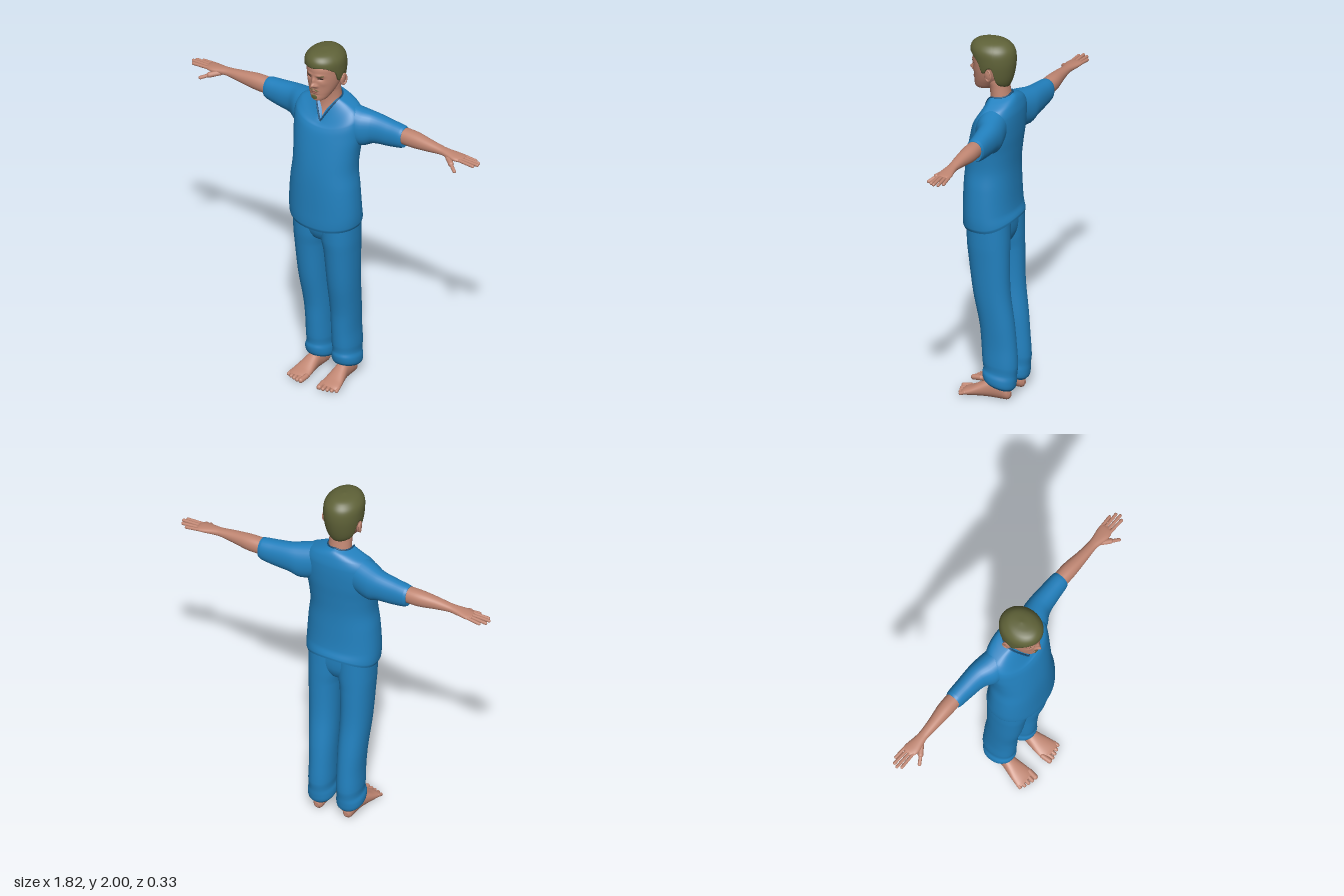
import * as THREE from 'three';

const V = (x, y, z) => new THREE.Vector3(x, y, z);
const flat = (name, color, side = THREE.FrontSide) => {
  const m = new THREE.MeshStandardMaterial({ color, side });
  m.name = name;
  return m;
};

// Smoothly interpolates rows [position, ...values] at a position
function at(rows, p) {
  let i = 0;
  while (i < rows.length - 2 && p > rows[i + 1][0]) i++;
  const a = rows[i], b = rows[i + 1], h = b[0] - a[0];
  const t = Math.min(1, Math.max(0, (p - a[0]) / h));
  const slope = (j, k) => {
    const l = rows[Math.max(0, j - 1)], r = rows[Math.min(rows.length - 1, j + 1)];
    return (r[k] - l[k]) / (r[0] - l[0]);
  };
  return a.map((v, k) => k === 0 ? a[0] + h * t :
    v * (2 * t ** 3 - 3 * t * t + 1) + b[k] * (3 * t * t - 2 * t ** 3) +
    h * (slope(i, k) * (t ** 3 - 2 * t * t + t) + slope(i + 1, k) * (t ** 3 - t * t)));
}

// Positions spread evenly inside every span of the rows
function stations(rows, steps) {
  const out = [rows[0][0]];
  for (let i = 1; i < rows.length; i++)
    for (let s = 1; s <= steps; s++) out.push(rows[i - 1][0] + (rows[i][0] - rows[i - 1][0]) * s / steps);
  return out;
}

// Skins closed rings of points, caps both ends and turns faces outward
function loft(rings) {
  const n = rings[0].length, pts = rings.flat(), idx = [];
  for (let r = 0; r < rings.length - 1; r++)
    for (let i = 0; i < n; i++) {
      const a = r * n + i, b = r * n + (i + 1) % n;
      idx.push(a, b, a + n, b, b + n, a + n);
    }
  [rings[0], rings[rings.length - 1]].forEach((ring, end) => {
    const base = pts.length, c = V(0, 0, 0);
    ring.forEach(p => c.addScaledVector(p, 1 / n));
    pts.push(...ring, c);
    for (let i = 0; i < n; i++) {
      const a = base + i, b = base + (i + 1) % n;
      idx.push(...(end ? [a, b, base + n] : [b, a, base + n]));
    }
  });
  let volume = 0;
  const cross = V(0, 0, 0);
  for (let i = 0; i < idx.length; i += 3)
    volume += pts[idx[i]].dot(cross.crossVectors(pts[idx[i + 1]], pts[idx[i + 2]]));
  if (volume < 0) idx.reverse();
  const g = new THREE.BufferGeometry().setFromPoints(pts);
  g.setIndex(idx);
  g.computeVertexNormals();
  return g;
}

const circle = (n, f) => Array.from({ length: n }, (_, i) =>
  f(Math.cos(i / n * 2 * Math.PI), Math.sin(i / n * 2 * Math.PI)));
const power = (v, e) => Math.sign(v) * Math.abs(v) ** e;

// Limb along an axis from rows [position, a0, a1, b0, b1, tilt]
const PLACE = { x: (p, a, b) => V(p, b, a), y: (p, a, b) => V(a, p, b), z: (p, a, b) => V(a, b, p) };
function limb(axis, rows, { n = 32, steps = 5, e = 0.92 } = {}) {
  return loft(stations(rows, steps).map(p => {
    const [, a0, a1, b0, b1, tilt = 0] = at(rows, p);
    return circle(n, (c, s) => {
      const u = power(c, e), v = power(s, e);
      return PLACE[axis](p + tilt * v, (a0 + a1) / 2 + (a1 - a0) / 2 * u, (b0 + b1) / 2 + (b1 - b0) / 2 * v);
    });
  }));
}

// Rounded finger or toe between two points
function digit(a, b, r) {
  const d = b.clone().sub(a), g = new THREE.CapsuleGeometry(r, d.length() - r, 6, 12);
  g.applyQuaternion(new THREE.Quaternion().setFromUnitVectors(V(0, 1, 0), d.clone().normalize()));
  const m = a.clone().add(b).multiplyScalar(0.5);
  return g.translate(m.x, m.y, m.z);
}

function mirrored(g) {
  const m = g.clone().scale(-1, 1, 1);
  m.setIndex(Array.from(m.index.array).reverse());
  return m;
}

// Head rows [y, half width, back z, front z] and facial relief [x, y, depth, spread x, spread y]
const HEAD = [[1.714, 0.022, 0.04, 0.098], [1.725, 0.042, 0.01, 0.11], [1.76, 0.063, -0.03, 0.113],
  [1.8, 0.079, -0.07, 0.115], [1.84, 0.088, -0.09, 0.118], [1.88, 0.092, -0.1, 0.12],
  [1.92, 0.092, -0.1, 0.117], [1.96, 0.075, -0.08, 0.09], [1.985, 0.03, -0.04, 0.05]];
const RELIEF = [[0, 1.819, 0.026, 0.013, 0.012], [0, 1.845, 0.013, 0.01, 0.018], [0.016, 1.813, 0.008, 0.008, 0.008],
  [0.034, 1.859, -0.01, 0.017, 0.01], [0.032, 1.88, 0.005, 0.022, 0.007], [0.05, 1.83, 0.003, 0.015, 0.015],
  [0, 1.783, 0.005, 0.018, 0.005], [0, 1.769, 0.005, 0.016, 0.005], [0, 1.758, -0.004, 0.02, 0.005]];
const relief = (x, y) => RELIEF.reduce((sum, [bx, by, d, sx, sy]) =>
  sum + d * Math.exp(-(((Math.abs(x) - bx) / sx) ** 2) - ((y - by) / sy) ** 2), 0);
function faceZ(x, y) {
  const [, rx, z0, z1] = at(HEAD, y);
  const s = Math.sqrt(Math.max(0, 1 - (x / rx) ** 2));
  return (z0 + z1) / 2 + (z1 - z0) / 2 * s + relief(x, y) * s;
}

// Thin patch lying on the face
function patch(x, y, w, h, slant = 0) {
  const g = new THREE.RingGeometry(0.001, 1, 24, 4), p = g.attributes.position;
  for (let i = 0; i < p.count; i++) {
    const px = x + p.getX(i) * w, py = y + p.getY(i) * h + p.getX(i) * slant;
    p.setXYZ(i, px, py, faceZ(px, py) + 0.003);
  }
  g.computeVertexNormals();
  return g;
}

function hairCap() {
  const rows = [[1.74, 0.062, -0.078, 0.08], [1.78, 0.086, -0.096, 0.1], [1.84, 0.1, -0.11, 0.12],
    [1.9, 0.105, -0.115, 0.128], [1.95, 0.1, -0.106, 0.132], [1.98, 0.076, -0.08, 0.112],
    [1.994, 0.045, -0.048, 0.075], [2.0, 0.004, 0.008, 0.016]];
  // Lower edge by angle from the front: fringe, sideburn, ear, nape
  const edge = [[0, 1.925], [35, 1.925], [55, 1.905], [68, 1.88], [75, 1.838], [84, 1.835], [92, 1.862],
    [106, 1.86], [116, 1.785], [140, 1.757], [180, 1.747]];
  const ring = (t, shrink) => circle(96, (c, s) => {
    const low = at(edge, Math.atan2(Math.abs(c), s) * 180 / Math.PI)[1] + (s > 0 ? 0.012 * c * s : 0);
    const y = 2 - (2 - low) * t ** 1.8, [, rx, z0, z1] = at(rows, y);
    return V(rx * c * shrink, y, (z0 + z1) / 2 + (z1 - z0) / 2 * s * shrink);
  });
  const rings = Array.from({ length: 31 }, (_, i) => ring(i / 30, 1));
  return loft([...rings, ring(1, 0.82)]);
}

// Shirt rows [side y, half width, back z, front z, front drop, back rise, V shape]
const SHIRT = [[0.965, 0.194, -0.14, 0.143, -0.015, 0.045, 0], [0.985, 0.202, -0.141, 0.15, -0.014, 0.04, 0],
  [1.06, 0.204, -0.128, 0.15, 0, 0.01, 0], [1.2, 0.195, -0.122, 0.147, 0, 0, 0],
  [1.3, 0.183, -0.122, 0.14, 0, 0, 0], [1.4, 0.188, -0.13, 0.125, 0, 0, 0], [1.5, 0.2, -0.14, 0.103, 0, 0, 0],
  [1.6, 0.198, -0.143, 0.085, -0.055, 0.01, 0], [1.645, 0.17, -0.133, 0.075, -0.09, 0.02, 0.3],
  [1.672, 0.12, -0.118, 0.067, -0.108, 0.025, 0.7], [1.695, 0.068, -0.094, 0.06, -0.125, 0.015, 1]];
function shirtRing(p, n = 64) {
  const [y, rx, z0, z1, drop, rise, v] = at(SHIRT, p);
  return circle(n, (c, s) => {
    const u = power(c, 0.9), line = 1 - Math.abs(u), round = Math.abs(power(s, 0.9));
    const depth = s > 0 ? THREE.MathUtils.lerp(round, line, v * 0.5) : -round;
    const k = THREE.MathUtils.lerp(s * s, line, v);
    return V(rx * u, y + (s > 0 ? drop : rise) * k, (z0 + z1) / 2 + (z1 - z0) / 2 * depth);
  });
}

export function createModel() {
  const model = new THREE.Group();
  model.name = 'figure';
  const skin = flat('skin', 0xc08672), hair = flat('hair', 0x5f6238), cloth = flat('blue cloth', 0x2281bf);
  const trim = flat('collar navy', 0x1a4f78), dark = flat('eye dark', 0x33231f, THREE.DoubleSide);
  const lip = flat('lip', 0x96594c, THREE.DoubleSide);
  const add = (name, geometry, material) => {
    const mesh = new THREE.Mesh(geometry, material);
    mesh.name = name;
    model.add(mesh);
  };
  const pair = (name, geometry, material) => {
    add(name + 'Left', geometry, material);
    add(name + 'Right', mirrored(geometry), material);
  };

  // Head, neck and chest
  add('head', loft(stations(HEAD, 10).map(y => {
    const [, rx, z0, z1] = at(HEAD, y);
    return circle(112, (c, s) => V(rx * c, y,
      (z0 + z1) / 2 + (z1 - z0) / 2 * s + (s > 0 ? relief(rx * c, y) * s : 0)));
  })), skin);
  add('neck', limb('y', [[1.52, -0.1, 0.1, -0.1, 0.075], [1.57, -0.085, 0.085, -0.1, 0.055],
    [1.62, -0.075, 0.075, -0.095, 0.03], [1.68, -0.065, 0.065, -0.09, 0.02], [1.74, -0.062, 0.062, -0.08, 0.025],
    [1.78, -0.064, 0.064, -0.075, 0.04], [1.84, -0.06, 0.06, -0.07, 0.04]], { e: 1 }), skin);
  pair('ear', new THREE.SphereGeometry(1, 20, 14).scale(0.01, 0.034, 0.02).rotateZ(-0.15).translate(0.098, 1.826, -0.006), skin);
  pair('earRim', new THREE.TorusGeometry(0.02, 0.005, 8, 20).scale(0.85, 1.45, 1).rotateY(Math.PI / 2 - 0.3)
    .translate(0.104, 1.829, -0.008), skin);
  add('hair', hairCap(), hair);
  pair('eye', patch(0.035, 1.86, 0.015, 0.0045), dark);
  pair('eyebrow', patch(0.036, 1.877, 0.02, 0.0035, 0.002), hair);
  add('mouth', patch(0, 1.776, 0.022, 0.0035), lip);
  add('goatee', patch(0, 1.744, 0.018, 0.013), hair);
  [-1, 1].forEach(s => add('moustache', patch(s * 0.014, 1.788, 0.012, 0.003, -s * 0.003), hair));

  // Shirt with a V neck
  add('shirt', loft(stations(SHIRT, 6).map(p => shirtRing(p))), cloth);
  add('collar', new THREE.TubeGeometry(new THREE.CatmullRomCurve3(shirtRing(1.695), true), 96, 0.0045, 8, true), trim);
  pair('sleeve', limb('x', [[0.1, -0.12, 0.04, 1.46, 1.668], [0.2, -0.14, 0.018, 1.442, 1.647],
    [0.26, -0.142, -0.015, 1.465, 1.635], [0.35, -0.14, -0.03, 1.475, 1.622],
    [0.42, -0.138, -0.038, 1.487, 1.613], [0.437, -0.133, -0.042, 1.494, 1.608]]), cloth);

  // Arms and hands
  pair('arm', limb('x', [[0.4, -0.128, -0.046, 1.515, 1.604], [0.5, -0.129, -0.045, 1.516, 1.604],
    [0.6, -0.115, -0.05, 1.528, 1.592], [0.68, -0.108, -0.055, 1.538, 1.58], [0.72, -0.111, -0.05, 1.537, 1.576],
    [0.77, -0.12, -0.042, 1.538, 1.57], [0.8, -0.121, -0.048, 1.541, 1.565], [0.813, -0.112, -0.056, 1.547, 1.56]]), skin);
  [[-0.112, 0.87, 1.545, -0.117], [-0.094, 0.9, 1.548, -0.1], [-0.076, 0.908, 1.551, -0.077],
    [-0.058, 0.893, 1.549, -0.056]].forEach(([z, x, y, tz]) =>
    pair('finger', digit(V(0.785, 1.554, z), V(x, y, tz), 0.0088), skin));
  pair('thumbBase', digit(V(0.715, 1.55, -0.07), V(0.775, 1.533, -0.026), 0.015), skin);
  pair('thumb', digit(V(0.755, 1.54, -0.038), V(0.812, 1.515, -0.002), 0.0095), skin);

  // Trousers with bunched hems
  add('trouserSeat', limb('y', [[0.845, -0.04, 0.04, -0.06, 0.05], [0.87, -0.1, 0.1, -0.09, 0.085],
    [0.93, -0.17, 0.17, -0.112, 0.108], [1.03, -0.185, 0.185, -0.115, 0.115]]), cloth);
  pair('trouserLeg', limb('y', [[0.074, 0.022, 0.142, -0.138, 0.01, 0.02], [0.09, 0.012, 0.155, -0.152, 0.02, 0.02],
    [0.125, 0.011, 0.157, -0.158, 0.026, 0.018], [0.155, 0.016, 0.149, -0.16, 0.022, 0.014],
    [0.2, 0.013, 0.151, -0.165, 0.027, 0.01], [0.3, 0.013, 0.15, -0.158, 0.033, 0], [0.42, 0.012, 0.157, -0.147, 0.042, 0],
    [0.6, 0.012, 0.17, -0.125, 0.075, 0], [0.8, 0.004, 0.18, -0.12, 0.1, 0], [0.88, -0.01, 0.184, -0.12, 0.11, 0],
    [1.02, -0.02, 0.185, -0.118, 0.115, 0]], { n: 40 }), cloth);

  // Bare feet
  pair('ankle', limb('y', [[0.04, 0.055, 0.12, -0.12, 0.0], [0.09, 0.055, 0.12, -0.115, -0.005],
    [0.16, 0.055, 0.12, -0.11, -0.01]]), skin);
  pair('foot', limb('z', [[-0.13, 0.075, 0.098, 0.015, 0.04], [-0.118, 0.06, 0.113, 0.002, 0.07],
    [-0.08, 0.055, 0.12, 0, 0.1], [-0.02, 0.055, 0.125, 0, 0.1], [0.03, 0.049, 0.138, 0, 0.077],
    [0.08, 0.043, 0.152, 0, 0.05], [0.115, 0.043, 0.157, 0, 0.035], [0.132, 0.053, 0.147, 0.005, 0.025]]), skin);
  [0.158, 0.156, 0.15, 0.143, 0.132].forEach((tip, i) => {
    const x = 0.056 + 0.0235 * i, r = i ? 0.0112 - 0.0004 * i : 0.0145;
    pair('toe', digit(V(x - 0.002, 0.022, 0.1), V(x + 0.003, r + 0.001, tip), r), skin);
  });
  return model;
}
